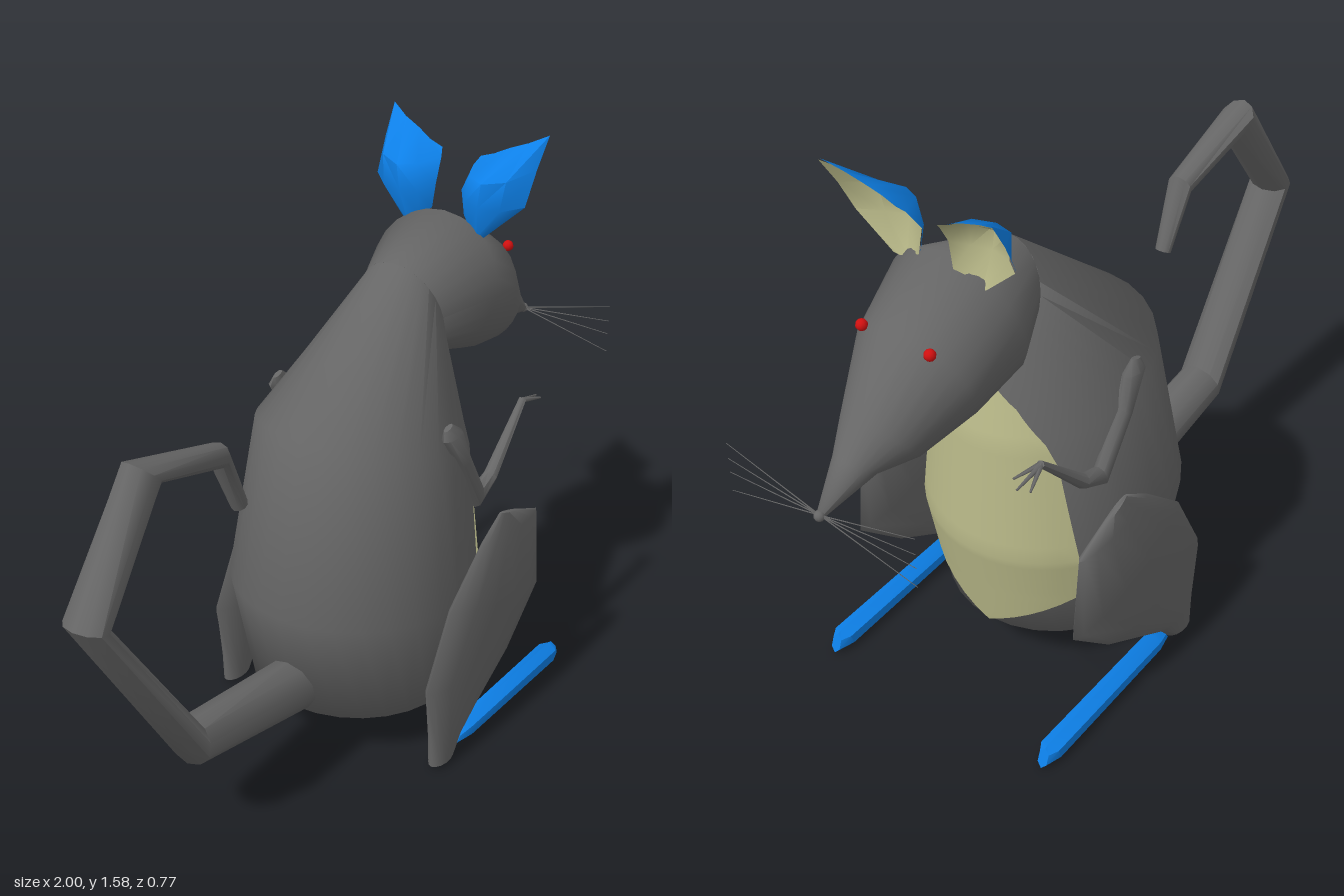
import * as THREE from 'three';
import { toCreasedNormals } from 'three/addons/utils/BufferGeometryUtils.js';

const mat = (color, side = THREE.FrontSide) => new THREE.MeshStandardMaterial({ color, side });
const fur = mat(0x666666), blue = mat(0x0d80e8), cream = mat(0xb8b888), red = mat(0xd01010);
const creamThin = mat(0xb8b888, THREE.DoubleSide);

// A ring is [ax, ay, bx, by, halfWidth, z]: an ellipse through a and b (a on the
// right-hand side of the travel direction), widened along z.
function ringPoint(r, angle, grow = 1) {
  const [ax, ay, bx, by, w, z = 0] = r;
  const c = Math.cos(angle) * grow / 2, s = Math.sin(angle) * grow;
  return [(ax + bx) / 2 + (ax - bx) * c, (ay + by) / 2 + (ay - by) * c, z + w * s];
}

// Closed skin over a row of rings, with flat end caps
function loft(rings, sides, crease = 0.8) {
  const pos = [], index = [];
  rings.forEach((r) => {
    for (let j = 0; j < sides; j++) pos.push(...ringPoint(r, (j / sides) * Math.PI * 2));
  });
  const last = rings.length - 1, start = rings.length * sides, end = start + 1;
  pos.push(...ringPoint(rings[0], 0, 0), ...ringPoint(rings[last], 0, 0));
  for (let j = 0; j < sides; j++) {
    const k = (j + 1) % sides;
    for (let i = 0; i < last; i++) {
      const a = i * sides + j, b = i * sides + k;
      index.push(a, a + sides, b + sides, a, b + sides, b);
    }
    index.push(start, j, k, end, last * sides + k, last * sides + j);
  }
  return finish(pos, index, crease);
}

// Open sheet over rows of points
function sheet(rows, flip = false) {
  const n = rows[0].length, index = [];
  for (let i = 0; i < rows.length - 1; i++) {
    for (let j = 0; j < n - 1; j++) {
      const a = i * n + j, b = a + 1, c = a + n, d = c + 1;
      index.push(...(flip ? [a, d, c, a, b, d] : [a, c, d, a, d, b]));
    }
  }
  return finish(rows.flat(2), index, 1);
}

function finish(pos, index, crease) {
  const g = new THREE.BufferGeometry();
  g.setAttribute('position', new THREE.Float32BufferAttribute(pos, 3));
  g.setIndex(index);
  return toCreasedNormals(g, crease);
}

const bodyRings = [
  [0.14, 0.04, 0.06, 0.04, 0.03],
  [0.40, 0.14, -0.17, 0.15, 0.29],
  [0.455, 0.43, -0.24, 0.47, 0.335],
  [0.43, 0.78, -0.14, 0.95, 0.285],
  [0.38, 1.01, 0.28, 1.29, 0.125],
];

// Belly: a strip of the body skin, swelled slightly; keys are [ring position, half angle]
function bellyGeometry() {
  const keys = [[1, 0], [1.5, 0.83], [2, 0.84], [2.8, 0.74], [3.4, 0.46], [3.75, 0.1]];
  const rows = [];
  for (let k = 0; k < keys.length - 1; k++) {
    for (let s = k ? 1 : 0; s <= 6; s++) {
      const t = THREE.MathUtils.lerp(keys[k][0], keys[k + 1][0], s / 6);
      const half = THREE.MathUtils.lerp(keys[k][1], keys[k + 1][1], s / 6);
      const i = Math.floor(t);
      const ring = bodyRings[i].map((v, c) => THREE.MathUtils.lerp(v, bodyRings[i + 1][c], t - i));
      rows.push(Array.from({ length: 13 }, (_, j) => ringPoint(ring, half * (j / 6 - 1), 1.025)));
    }
  }
  return sheet(rows);
}

// Cupped ear: rows run base to tip, each from inner edge over the back to outer edge
function earRows(side, shift) {
  return [
    [[0.54, 1.35, 0.05], [0.52, 1.33, 0.08], [0.51, 1.31, 0.11], [0.52, 1.31, 0.125], [0.53, 1.32, 0.135]],
    [[0.54, 1.42, 0.04], [0.50, 1.40, 0.07], [0.485, 1.40, 0.12], [0.50, 1.40, 0.18], [0.545, 1.41, 0.23]],
    [[0.58, 1.48, 0.05], [0.51, 1.475, 0.08], [0.485, 1.47, 0.13], [0.51, 1.48, 0.19], [0.59, 1.50, 0.235]],
    [[0.60, 1.50, 0.06], [0.60, 1.515, 0.10], [0.61, 1.535, 0.14], [0.62, 1.555, 0.19], [0.64, 1.58, 0.24]],
  ].map((row) => row.map(([x, y, z]) => [x + shift, y, z * side]));
}

function rod(from, to, r0, r1, sides = 5) {
  const a = new THREE.Vector3(...from), b = new THREE.Vector3(...to);
  const d = b.clone().sub(a);
  const g = new THREE.CylinderGeometry(r1, r0, d.length(), sides);
  g.applyQuaternion(new THREE.Quaternion().setFromUnitVectors(
    new THREE.Vector3(0, 1, 0), d.normalize()));
  return g.translate(...a.add(b).multiplyScalar(0.5).toArray());
}

export function createModel() {
  const model = new THREE.Group();
  const add = (name, geometry, material = fur) => {
    const m = new THREE.Mesh(geometry, material);
    m.name = name;
    model.add(m);
  };

  add('body', loft(bodyRings, 28, 1.5));
  add('belly', bellyGeometry(), creamThin);

  // Head tapers from the neck to the snout
  add('head', loft([
    [0.38, 1.01, 0.28, 1.29, 0.125],
    [0.43, 0.99, 0.52, 1.36, 0.197],
    [0.56, 0.945, 0.70, 1.245, 0.168],
    [0.70, 0.91, 0.84, 1.08, 0.1],
    [0.82, 0.935, 0.90, 1.005, 0.055],
    [0.978, 0.895, 0.986, 0.915, 0.01],
  ], 24, 1.2));
  add('nose', new THREE.SphereGeometry(0.014, 10, 8).translate(0.985, 0.905, 0));

  // Curled tail with straight segments
  add('tail', loft([
    [-0.08, 0.29, -0.08, 0.12, 0.075],
    [-0.17, 0.31, -0.17, 0.15, 0.073],
    [-0.60, 0.37, -0.63, 0.25, 0.067],
    [-0.91, 0.83, -1.00, 0.85, 0.062],
    [-0.70, 1.10, -0.78, 1.18, 0.05],
    [-0.475, 1.03, -0.455, 1.09, 0.036],
    [-0.41, 0.88, -0.37, 0.90, 0.022],
  ], 10));

  for (const s of [1, -1]) {
    const side = s > 0 ? 'Left' : 'Right';
    add('eye' + side, new THREE.SphereGeometry(0.015, 10, 8).translate(0.697, 1.222, s * 0.1), red);
    add('earBack' + side, sheet(earRows(s, 0), s > 0), blue);
    add('earInside' + side, sheet(earRows(s, 0.006), s < 0), cream);
    add('tooth' + side, rod([0.86, 0.95, s * 0.015], [0.86, 0.91, s * 0.015], 0.008, 0.001));

    // Flat haunch, heel to knee
    const z = s * 0.35;
    add('haunch' + side, loft([
      [0.07, 0.012, -0.03, 0.012, 0.026, z],
      [0.11, 0.06, -0.035, 0.10, 0.029, z],
      [0.35, 0.20, -0.065, 0.27, 0.036, z],
      [0.505, 0.34, 0.04, 0.47, 0.037, z],
      [0.48, 0.58, 0.19, 0.60, 0.022, z],
      [0.38, 0.625, 0.28, 0.66, 0.008, z],
    ], 14, 1.3));
    add('foot' + side, loft([
      [0.08, 0.02, 0.10, 0.05, 0.015, z],
      [0.14, 0.015, 0.14, 0.068, 0.03, z],
      [0.59, 0.0, 0.61, 0.06, 0.032, z],
      [0.645, 0.0, 0.625, 0.055, 0.016, z],
    ], 6, 0.4), blue);

    // Thin bent arm, shoulder to wrist
    add('arm' + side, loft([
      [0.115, 0.95, 0.15, 0.96, 0.008, s * 0.27],
      [0.105, 0.925, 0.19, 0.93, 0.02, s * 0.275],
      [0.175, 0.82, 0.215, 0.85, 0.022, s * 0.28],
      [0.275, 0.655, 0.295, 0.72, 0.022, s * 0.275],
      [0.37, 0.70, 0.345, 0.73, 0.02, s * 0.272],
      [0.525, 0.868, 0.515, 0.882, 0.011, s * 0.268],
    ], 8));
    for (const f of [-1, 0, 1]) {
      add('finger' + side, rod([0.515, 0.873, s * 0.268],
        [0.605 - Math.abs(f) * 0.02, 0.85 + f * 0.008, s * 0.262 + f * 0.025], 0.008, 0.003));
    }

    // Whiskers fan out sideways from the nose
    for (const y of [0.98, 0.935, 0.895, 0.84]) {
      add('whisker' + side, rod([0.983, 0.905, 0], [0.983, y, s * 0.28], 0.002, 0.001, 4));
    }
  }
  return model;
}
